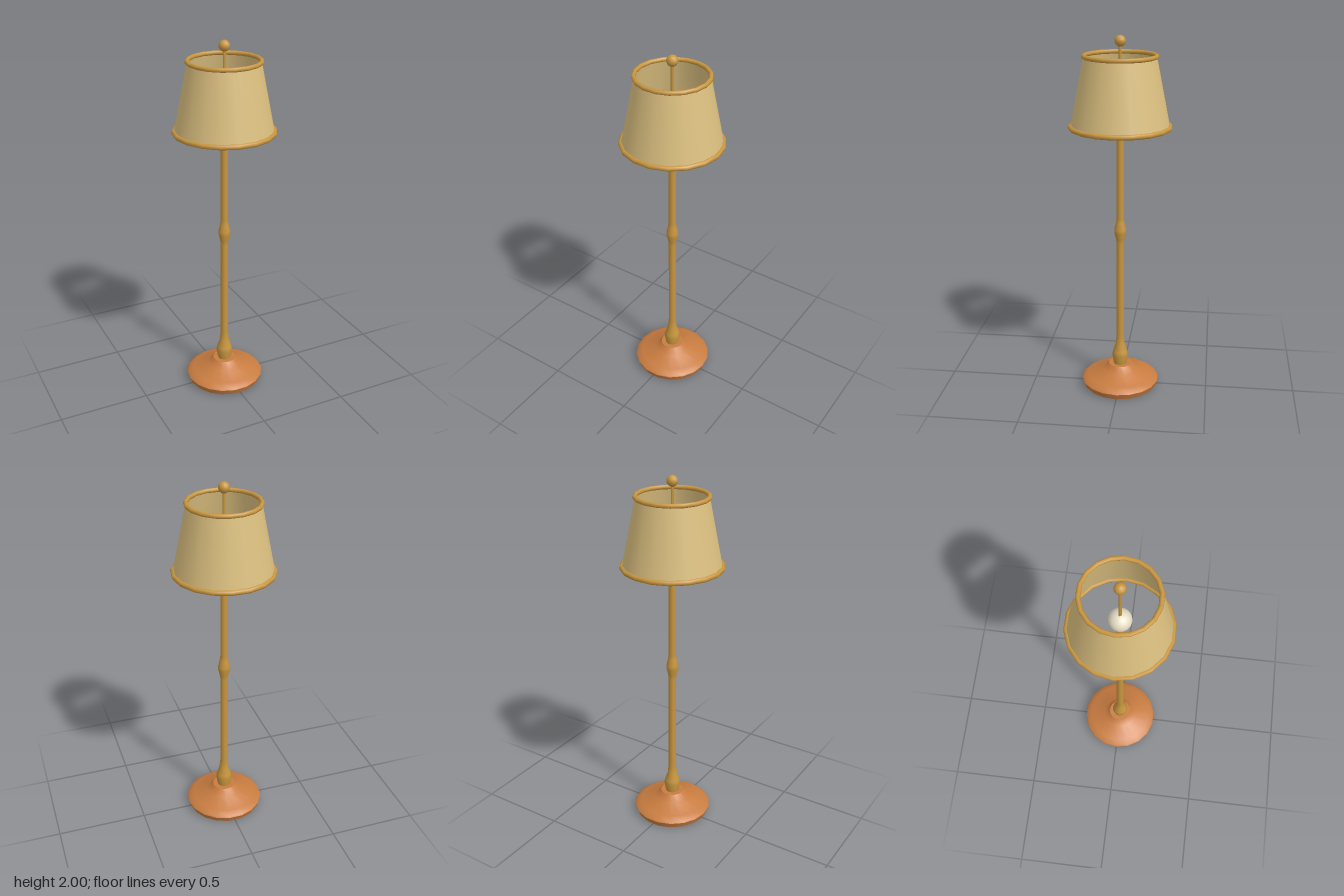
import * as THREE from 'three';

const SIDES = 18;

function material(name, color, side = THREE.FrontSide) {
  const m = new THREE.MeshStandardMaterial({ color, side });
  m.name = name;
  return m;
}

// Turned part from [radius, height] pairs, bottom to top; a repeated pair keeps a sharp edge
function turned(profile, sides) {
  const points = profile.map(([r, y]) => new THREE.Vector2(r, y));
  return new THREE.LatheGeometry(points, sides).rotateY(Math.PI / 2);
}

export function createModel() {
  const lamp = new THREE.Group();
  lamp.name = 'floorLamp';
  const brass = material('brass', 0xc8963f);
  const wood = material('wood', 0xc87c40);
  const fabric = material('fabric', 0xdcc080, THREE.DoubleSide);
  const glass = material('glass', 0xe8dfc6);

  function add(name, geometry, mat, y = 0) {
    const mesh = new THREE.Mesh(geometry, mat);
    mesh.name = name;
    mesh.position.y = y;
    lamp.add(mesh);
  }

  // Stepped round foot
  add('base', turned([
    [0, 0], [0.208, 0], [0.208, 0], [0.221, 0.033], [0.221, 0.033], [0.216, 0.04],
    [0.185, 0.06], [0.097, 0.087], [0.065, 0.125], [0.065, 0.125], [0, 0.125],
  ], SIDES), wood);

  // Pole with a bulging foot and a knob at mid height
  add('pole', turned([
    [0.038, 0.123], [0.047, 0.175], [0.042, 0.2], [0.027, 0.245], [0.021, 0.3],
    [0.02, 0.86], [0.024, 0.89], [0.033, 0.925], [0.033, 0.945], [0.024, 0.985],
    [0.02, 1.01], [0.019, 1.535], [0.019, 1.535], [0, 1.535],
  ], 12), brass);

  // Socket, bulb and the rod carrying the finial
  add('socket', new THREE.CylinderGeometry(0.013, 0.013, 0.05, 12), brass, 1.555);
  add('bulb', new THREE.SphereGeometry(0.06, 16, 12), glass, 1.62);
  add('finialRod', new THREE.CylinderGeometry(0.008, 0.008, 0.3, 8), brass, 1.81);
  add('finial', new THREE.SphereGeometry(0.03, 12, 8), brass, 1.97);

  // Open tapered shade with a rim at each end
  add('shade', turned([[0.265, 1.523], [0.191, 1.892]], SIDES), fabric);
  for (const [name, radius, tube, y] of [
    ['lowerRim', 0.265, 0.014, 1.523],
    ['upperRim', 0.191, 0.012, 1.892],
  ]) add(name, new THREE.TorusGeometry(radius, tube, 8, SIDES).rotateX(Math.PI / 2), brass, y);

  return lamp;
}
